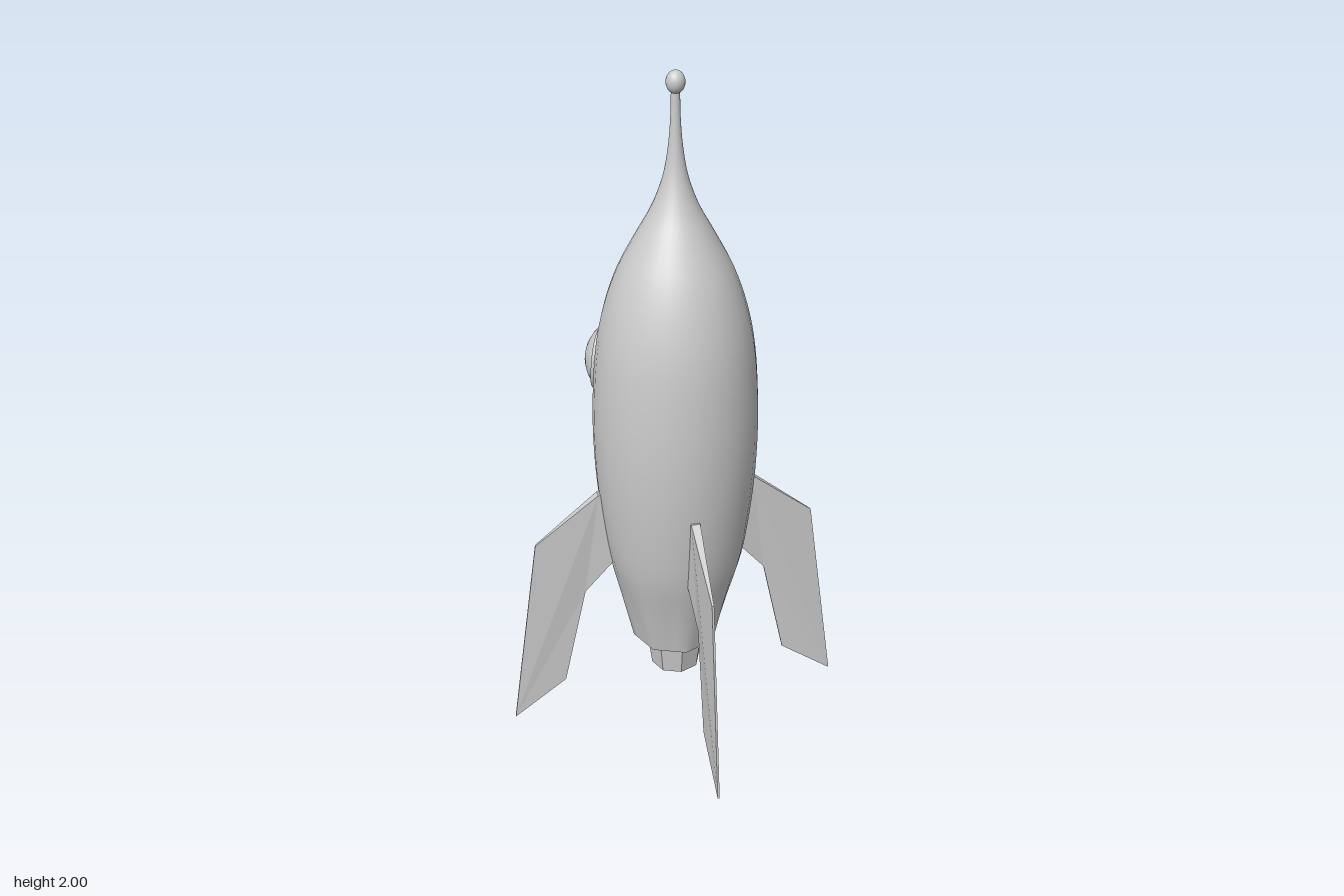
import * as THREE from 'three';
import { mergeVertices } from 'three/addons/utils/BufferGeometryUtils.js';

const smooth = new THREE.MeshStandardMaterial({ color: 0xcccccc });
const faceted = new THREE.MeshStandardMaterial({ color: 0xcccccc, flatShading: true });

// Hull silhouette as [radius, height], from tail to antenna
const profile = new THREE.SplineCurve([
  [0.132, 0.245], [0.168, 0.4], [0.202, 0.55], [0.228, 0.75], [0.238, 0.92],
  [0.236, 1.07], [0.224, 1.22], [0.2, 1.34], [0.162, 1.45], [0.11, 1.55],
  [0.066, 1.63], [0.036, 1.71], [0.021, 1.79], [0.014, 1.87], [0.012, 1.95],
].map(([r, y]) => new THREE.Vector2(r, y))).getPoints(56);

function hullRadius(y) {
  const i = Math.max(1, profile.findIndex((p) => p.y >= y));
  const a = profile[i - 1], b = profile[i];
  return THREE.MathUtils.mapLinear(y, a.y, b.y, a.x, b.x);
}

function add(parent, name, geometry, material = smooth) {
  const mesh = new THREE.Mesh(geometry, material);
  mesh.name = name;
  parent.add(mesh);
  return mesh;
}

// Round body that eases into an octagon at the tail
function hullGeometry() {
  let g = new THREE.LatheGeometry(profile, 32);
  g.deleteAttribute('uv');
  g.deleteAttribute('normal');
  const p = g.attributes.position;
  for (let i = 0; i < p.count; i++) {
    const x = p.getX(i), y = p.getY(i), z = p.getZ(i);
    const step = Math.PI / 4;
    const turn = Math.atan2(x, z) + 2 * Math.PI + 1e-6;
    const octagon = Math.cos(step / 2) / Math.cos((turn % step) - step / 2);
    const s = THREE.MathUtils.lerp(octagon, 1, THREE.MathUtils.smoothstep(y, 0.245, 0.6));
    p.setXYZ(i, x * s, y, z * s);
  }
  g = mergeVertices(g, 1e-5);
  g.computeVertexNormals();
  return g;
}

// Bent fin, thick at the root and thin from the elbow outwards
function finGeometry() {
  const outline = [[0.18, 0.53], [0.195, 0.53], [0.28, 0.43], [0.35, 0.115],
    [0.512, 0], [0.425, 0.615], [0.235, 0.765], [0.2, 0.765]];
  const shape = new THREE.Shape(outline.map(([x, y]) => new THREE.Vector2(x, y)));
  const g = new THREE.ExtrudeGeometry(shape, { depth: 1, bevelEnabled: false });
  const p = g.attributes.position;
  for (let i = 0; i < p.count; i++) {
    const half = p.getX(i) < 0.25 ? 0.013 : 0.003;
    p.setZ(i, p.getZ(i) > 0.5 ? half : -half);
  }
  g.computeVertexNormals();
  return g;
}

// Closed curve where a dome of radius r at the given centre meets the hull
function rimCurve(centre, axis, r) {
  const up = new THREE.Vector3(0, 1, 0);
  const side = new THREE.Vector3().crossVectors(up, axis);
  const points = [];
  for (let i = 0; i < 24; i++) {
    const a = (i / 24) * Math.PI * 2;
    const across = side.clone().multiplyScalar(Math.cos(a)).addScaledVector(up, Math.sin(a));
    let lo = 0, hi = Math.PI / 2;
    const point = new THREE.Vector3();
    for (let k = 0; k < 20; k++) {
      const mid = (lo + hi) / 2;
      point.copy(centre).addScaledVector(axis, r * Math.cos(mid)).addScaledVector(across, r * Math.sin(mid));
      if (Math.hypot(point.x, point.z) > hullRadius(point.y)) lo = mid;
      else hi = mid;
    }
    points.push(point);
  }
  return new THREE.CatmullRomCurve3(points, true);
}

export function createModel() {
  const rocket = new THREE.Group();
  rocket.name = 'rocket';

  // Body, tail plate, nozzle and antenna ball
  add(rocket, 'hull', hullGeometry());
  add(rocket, 'tailPlate', new THREE.CircleGeometry(0.132, 8).rotateX(Math.PI / 2)).position.y = 0.245;
  add(rocket, 'nozzle', new THREE.CylinderGeometry(0.091, 0.075, 0.12, 8), faceted).position.y = 0.19;
  const ball = add(rocket, 'antennaBall', new THREE.SphereGeometry(0.026, 20, 14));
  ball.scale.y = 1.2;
  ball.position.y = 1.969;

  // Four fins
  const fin = finGeometry();
  for (let i = 0; i < 4; i++) add(rocket, 'fin', fin).rotation.y = (i * Math.PI) / 2;

  // Two domed windows on the rear quarters
  const domeRadius = 0.12;
  for (const s of [-1, 1]) {
    const porthole = new THREE.Group();
    porthole.name = s > 0 ? 'leftPorthole' : 'rightPorthole';
    const axis = new THREE.Vector3(s, 0, -1).normalize();
    const centre = axis.clone().multiplyScalar(0.165).setY(1.135);
    add(porthole, 'dome', new THREE.SphereGeometry(domeRadius, 32, 20)).position.copy(centre);
    add(porthole, 'rim', new THREE.TubeGeometry(rimCurve(centre, axis, domeRadius), 48, 0.009, 8, true));
    rocket.add(porthole);
  }
  return rocket;
}
